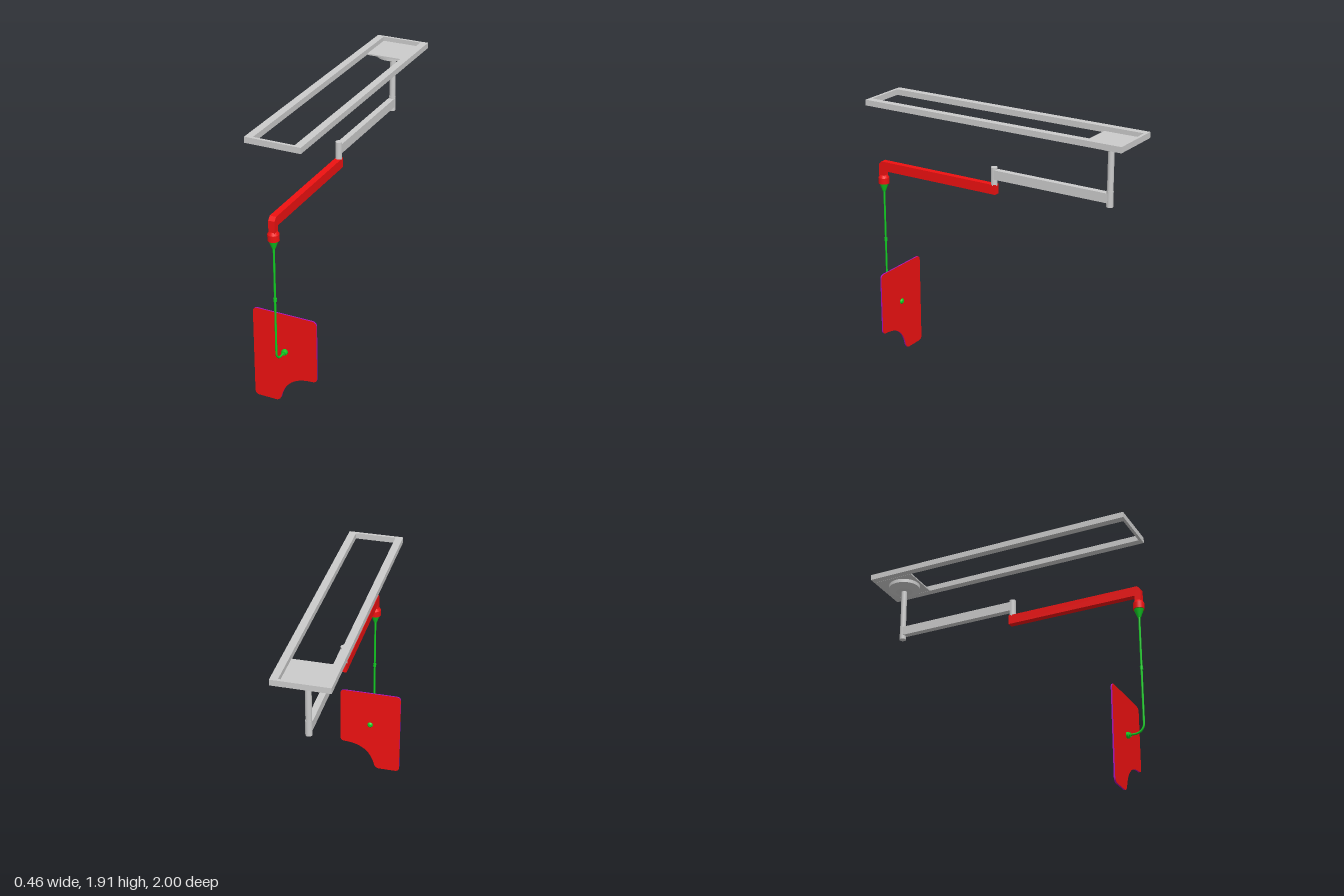
import * as THREE from 'three';

const mat = (color) => new THREE.MeshStandardMaterial({ color });

export function createModel() {
  const model = new THREE.Group();
  const grey = mat(0xcccccc), red = mat(0xee1111), green = mat(0x11cc22), purple = mat(0xaa11bb);

  const add = (name, geometry, material, x = 0, y = 0, z = 0) => {
    const mesh = new THREE.Mesh(geometry, material);
    mesh.name = name;
    mesh.position.set(x, y, z);
    model.add(mesh);
    return mesh;
  };
  // Box given by centre x, y range and z range
  const box = (name, m, x, w, y0, y1, z0, z1) =>
    add(name, new THREE.BoxGeometry(w, y1 - y0, z1 - z0), m, x, (y0 + y1) / 2, (z0 + z1) / 2);
  // Upright round post
  const post = (name, m, r, y0, y1, z) =>
    add(name, new THREE.CylinderGeometry(r, r, y1 - y0, 24), m, 0, (y0 + y1) / 2, z);
  // Turned part; every profile segment gets its own lathe so edges stay sharp
  const turned = (name, m, profile, z) => {
    const group = new THREE.Group();
    group.name = name;
    for (let i = 1; i < profile.length; i++) {
      const pts = [profile[i - 1], profile[i]].map(([r, y]) => new THREE.Vector2(r, y));
      group.add(new THREE.Mesh(new THREE.LatheGeometry(pts, 32), m));
    }
    group.position.z = z;
    model.add(group);
    return group;
  };

  // Ceiling rail frame with its carriage plate
  for (const s of [-1, 1]) box('ceilingRail', grey, s * 0.164, 0.05, 1.871, 1.911, -1, 0.95);
  box('frameRearEnd', grey, 0, 0.278, 1.871, 1.911, -1, -0.98);
  box('frameFrontEnd', grey, 0, 0.278, 1.871, 1.911, 0.93, 0.95);
  box('carriagePlate', grey, 0, 0.275, 1.871, 1.881, -0.98, -0.7);

  // Suspension column
  const columnZ = -0.83;
  turned('ceilingFlange', grey, [[0, 1.822], [0.06, 1.822], [0.113, 1.845], [0.113, 1.871], [0, 1.871]], columnZ);
  post('column', grey, 0.0205, 1.53, 1.83, columnZ);
  post('columnCollar', grey, 0.0225, 1.437, 1.544, columnZ);

  // Extension arm and middle joint
  box('extensionArm', grey, 0, 0.042, 1.465, 1.53, columnZ, 0.04);
  post('middleJoint', grey, 0.0225, 1.42, 1.546, 0.041);

  // Lower arm with a chamfered elbow, drawn in the z-y plane
  const arm = new THREE.Shape([
    [0.02, 1.36], [0.942, 1.36], [0.942, 1.315], [0.985, 1.315],
    [0.985, 1.403], [0.963, 1.427], [0.02, 1.427],
  ].map(([z, y]) => new THREE.Vector2(z, y)));
  const armGeo = new THREE.ExtrudeGeometry(arm, { depth: 0.044, bevelEnabled: false });
  armGeo.translate(0, 0, -0.022).rotateY(-Math.PI / 2);
  add('lowerArm', armGeo, red);

  // Coupling and hanging rod
  const rodZ = 0.962;
  turned('coupling', red, [[0, 1.263], [0.038, 1.263], [0.038, 1.306], [0.027, 1.325], [0, 1.325]], rodZ);
  turned('rodCone', green, [[0, 1.204], [0.011, 1.204], [0.033, 1.263], [0, 1.263]], rodZ);
  post('rodFerrule', green, 0.011, 0.828, 0.852, rodZ);
  const rod = new THREE.CurvePath();
  const v = (y, z) => new THREE.Vector3(0, y, z);
  rod.add(new THREE.LineCurve3(v(1.21, rodZ), v(0.45, rodZ)));
  const k = 0.0265;
  rod.add(new THREE.CubicBezierCurve3(v(0.45, rodZ), v(0.39 + k, rodZ), v(0.39, rodZ - k), v(0.39, rodZ - 0.06)));
  rod.add(new THREE.LineCurve3(v(0.39, rodZ - 0.06), v(0.39, 0.85)));
  add('hangingRod', new THREE.TubeGeometry(rod, 120, 0.007, 14, false), green);

  // Clamp that holds the shield, turned about the z axis
  const clamp = turned('shieldClamp', green, [
    [0, -0.022], [0.012, -0.022], [0.021, -0.013], [0.021, 0.013], [0.015, 0.016], [0.015, 0.024], [0, 0.024],
  ], 0.846);
  clamp.rotation.x = Math.PI / 2;
  clamp.position.y = 0.39;

  // Shield panel with a curved cut-out at its lower left corner
  const s = new THREE.Shape();
  const w = 0.228, top = 0.668, r = 0.035;
  s.moveTo(-w + r, 0);
  s.lineTo(-0.07, 0);
  s.quadraticCurveTo(-0.042, 0.003, -0.032, 0.04);
  s.bezierCurveTo(-0.005, 0.145, 0.065, 0.207, 0.19, 0.211);
  s.quadraticCurveTo(w, 0.212, w, 0.245);
  s.lineTo(w, top - r);
  s.quadraticCurveTo(w, top, w - r, top);
  s.lineTo(-w + r, top);
  s.quadraticCurveTo(-w, top, -w, top - r);
  s.lineTo(-w, r);
  s.quadraticCurveTo(-w, 0, -w + r, 0);
  const panel = new THREE.ExtrudeGeometry(s, { depth: 0.01, bevelEnabled: false, curveSegments: 20 });
  add('shieldPanel', panel, [red, purple], 0, 0, 0.835);

  return model;
}
